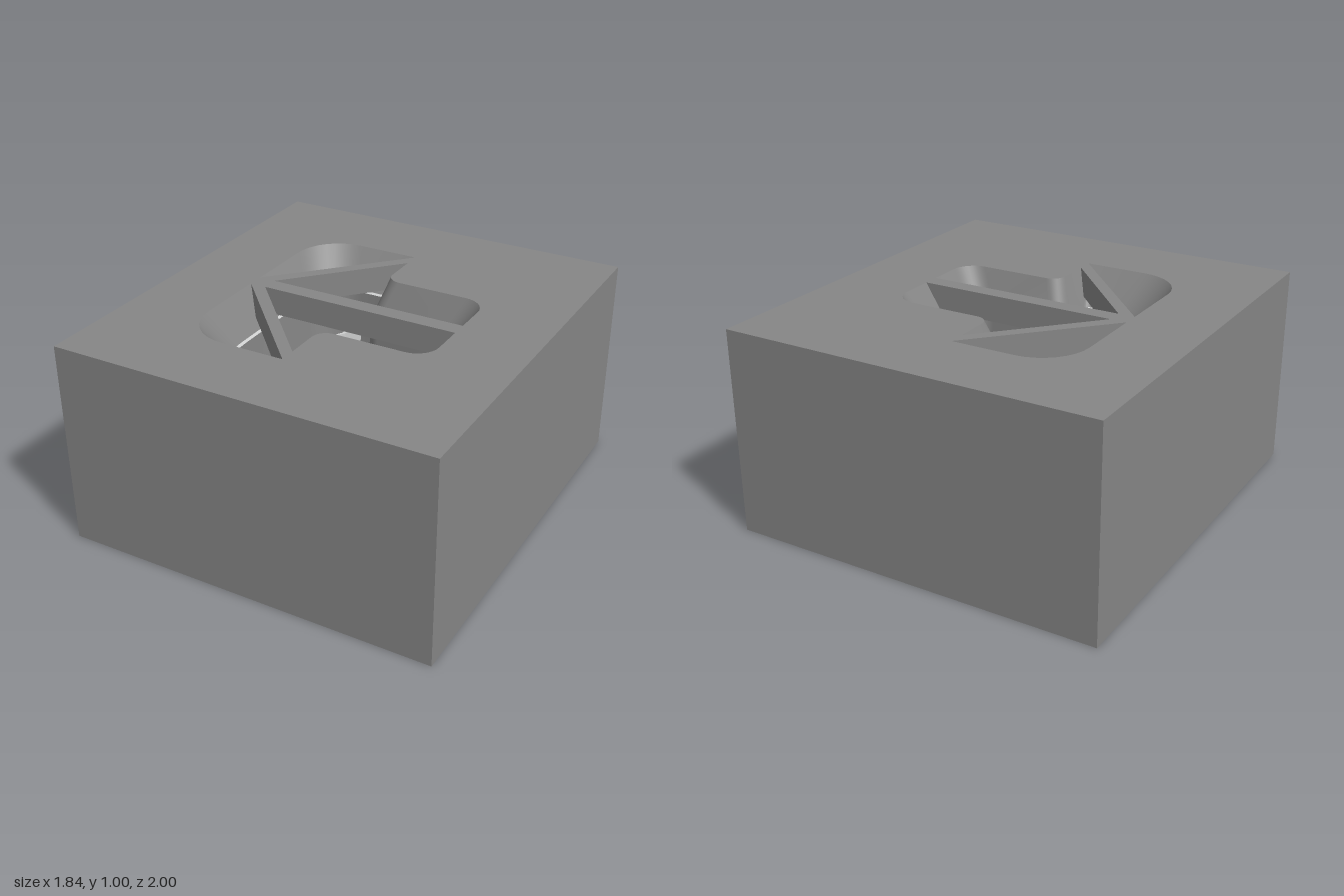
import * as THREE from 'three';
import { toCreasedNormals } from 'three/addons/utils/BufferGeometryUtils.js';

const mat = (name, color) => new THREE.MeshStandardMaterial({ name, color, side: THREE.DoubleSide });

// Full outline from its back half: corners are [x, z, radius], mirrored in z
function outline(half, steps = 8) {
  const c = [...half, ...half.map(([x, z, r]) => [x, -z, r]).reverse()];
  const pts = [];
  c.forEach(([x, z, r], i) => {
    const p = new THREE.Vector2(x, z);
    if (!r) { pts.push(p); return; }
    const [px, pz] = c[(i + c.length - 1) % c.length], [nx, nz] = c[(i + 1) % c.length];
    const a = new THREE.Vector2(px, pz).sub(p).normalize();
    const b = new THREE.Vector2(nx, nz).sub(p).normalize();
    for (let k = 0; k <= steps; k++) {
      const t = k / steps * Math.PI / 2;
      pts.push(p.clone().addScaledVector(b, r * (1 - Math.cos(t))).addScaledVector(a, r * (1 - Math.sin(t))));
    }
  });
  return pts;
}

// Wall surface joining closed outlines at given heights
function loft(rings) {
  const pos = [], idx = [], n = rings[0].pts.length;
  for (const { pts, y } of rings) for (const p of pts) pos.push(p.x, y, p.y);
  for (let j = 0; j < rings.length - 1; j++) for (let i = 0; i < n; i++) {
    const a = j * n + i, b = j * n + (i + 1) % n;
    idx.push(a, b, a + n, b, b + n, a + n);
  }
  const g = new THREE.BufferGeometry();
  g.setAttribute('position', new THREE.Float32BufferAttribute(pos, 3));
  g.setIndex(idx);
  return toCreasedNormals(g, 0.5);
}

const flip = pts => pts.map(p => new THREE.Vector2(p.x, -p.y));
const vec = list => list.map(([x, z]) => new THREE.Vector2(x, z));

// Flat slab between two heights, with optional hole
function slab(pts, y0, y1, hole) {
  const s = new THREE.Shape(flip(pts));
  if (hole) s.holes.push(new THREE.Path(flip(hole)));
  const g = new THREE.ExtrudeGeometry(s, { depth: y1 - y0, bevelEnabled: false });
  return g.rotateX(-Math.PI / 2).translate(0, y0, 0);
}

function block(x0, x1, y0, y1, z0, z1) {
  return new THREE.BoxGeometry(x1 - x0, y1 - y0, z1 - z0)
    .translate((x0 + x1) / 2, (y0 + y1) / 2, (z0 + z1) / 2);
}

export function createModel() {
  const group = new THREE.Group();
  const grey = mat('grey', 0x868686), brown = mat('brown', 0xa88a6c), light = mat('lightGrey', 0xcfd0d0);
  const add = (name, geometry, material) => {
    const m = new THREE.Mesh(geometry, material);
    m.name = name;
    group.add(m);
  };

  // Outer housing, open underneath
  const box = outline([[-0.92, -1, 0], [0.92, -1, 0]]);
  const mouth = outline([[-0.54, -0.62, 0.23], [0, -0.62, 0.002], [0, -0.31, 0.07], [0.53, -0.31, 0.11]]);
  const lipOuter = outline([[-0.44, -0.495, 0.2], [-0.06, -0.495, 0.03], [-0.06, -0.245, 0.07], [0.42, -0.245, 0.09]]);
  const lipInner = outline([[-0.425, -0.48, 0.19], [-0.072, -0.48, 0.02], [-0.072, -0.232, 0.07], [0.407, -0.232, 0.08]]);
  const base = outline([[-0.39, -0.465, 0.16], [-0.072, -0.47, 0.02], [-0.072, -0.232, 0.07], [0.407, -0.232, 0.08]]);
  add('housingWalls', loft([{ pts: box, y: 0 }, { pts: box, y: 1 }]), grey);
  const lid = new THREE.Shape(flip(box));
  lid.holes.push(new THREE.Path(flip(mouth)));
  add('housingTop', new THREE.ShapeGeometry(lid).rotateX(-Math.PI / 2).translate(0, 1, 0), grey);

  // Sloped mouth, pale lip and the deep chamber below it
  add('mouthSlope', loft([{ pts: mouth, y: 1 }, { pts: lipOuter, y: 0.82 }]), grey);
  add('chamberLip', loft([{ pts: lipOuter, y: 0.82 }, { pts: lipInner, y: 0.815 }]), light);
  add('chamberWalls', loft([{ pts: lipInner, y: 0.815 }, { pts: base, y: 0.28 }]), grey);

  // Bridges across the mouth
  add('centreBridge', slab(vec([[-0.54, -0.04], [0.53, -0.04], [0.53, 0.04], [-0.54, 0.04]]), 0.87, 1), grey);
  for (const s of [-1, 1]) {
    add('diagonalBridge', slab(vec([[-0.54, 0.04 * s], [0, 0.62 * s], [0, 0.54 * s], [-0.46, 0.04 * s]]), 0.87, 1), grey);
  }

  // Lower well with its brown floor, notched on one side
  const well = outline([[-0.16, -0.47, 0], [-0.072, -0.47, 0], [-0.072, -0.232, 0.07], [0.15, -0.232, 0]]);
  const floor = outline([[-0.16, -0.47, 0], [-0.072, -0.47, 0], [-0.072, -0.232, 0.07], [0.15, -0.232, 0],
    [0.15, -0.15, 0], [0.08, -0.08, 0]]);
  add('wellWalls', loft([{ pts: well, y: 0.28 }, { pts: well, y: 0.14 }]), grey);
  add('wellFloor', slab(floor, 0.14, 0.16), brown);
  add('notchPlate', block(0.06, 0.15, 0.145, 0.15, -0.16, 0.16), light);

  // Shallow end floors
  add('sideFloor', block(0.15, 0.407, 0.27, 0.29, -0.225, 0.225), grey);
  add('dividerFloor', block(-0.24, -0.16, 0.28, 0.3, -0.465, 0.465), grey);
  add('centreBlock', block(-0.41, -0.24, 0.28, 0.5, -0.12, 0.12), grey);
  const shelf = outline([[-0.39, -0.465, 0.16], [-0.24, -0.465, 0]]);
  add('shelfFloor', slab(shelf, 0.28, 0.32), brown);

  // Kinked pale divider with a brown tab
  const line = [[-0.24, 0.47], [-0.24, 0.4], [-0.2, 0.35], [-0.2, 0.24], [-0.24, 0.17], [-0.24, 0]];
  for (const s of [-1, 1]) {
    const strip = [...line.map(([x, z]) => [x, z * s]), ...line.map(([x, z]) => [x + 0.015, z * s]).reverse()];
    add('divider', slab(vec(strip), 0.3, 0.7), light);
  }
  add('dividerTab', block(-0.225, -0.175, 0.3, 0.34, -0.1, 0.1), brown);

  // Three legs on brown feet
  add('sideLeg', block(0.41, 0.53, 0.08, 0.8, -0.075, 0.075), grey);
  add('sideFoot', block(0.38, 0.53, 0, 0.08, -0.075, 0.075), brown);
  add('sideFootTab', block(0.38, 0.407, 0.29, 0.297, -0.08, 0.08), brown);
  for (const s of [-1, 1]) {
    const [near, far] = s > 0 ? [0.47, 0.61] : [-0.61, -0.47];
    const [legNear, legFar] = s > 0 ? [0.485, 0.61] : [-0.61, -0.485];
    add('endLeg', block(-0.16, -0.01, 0.08, 0.8, legNear, legFar), grey);
    add('endFoot', block(-0.16, -0.01, 0, 0.08, near, far), brown);
  }
  return group;
}
